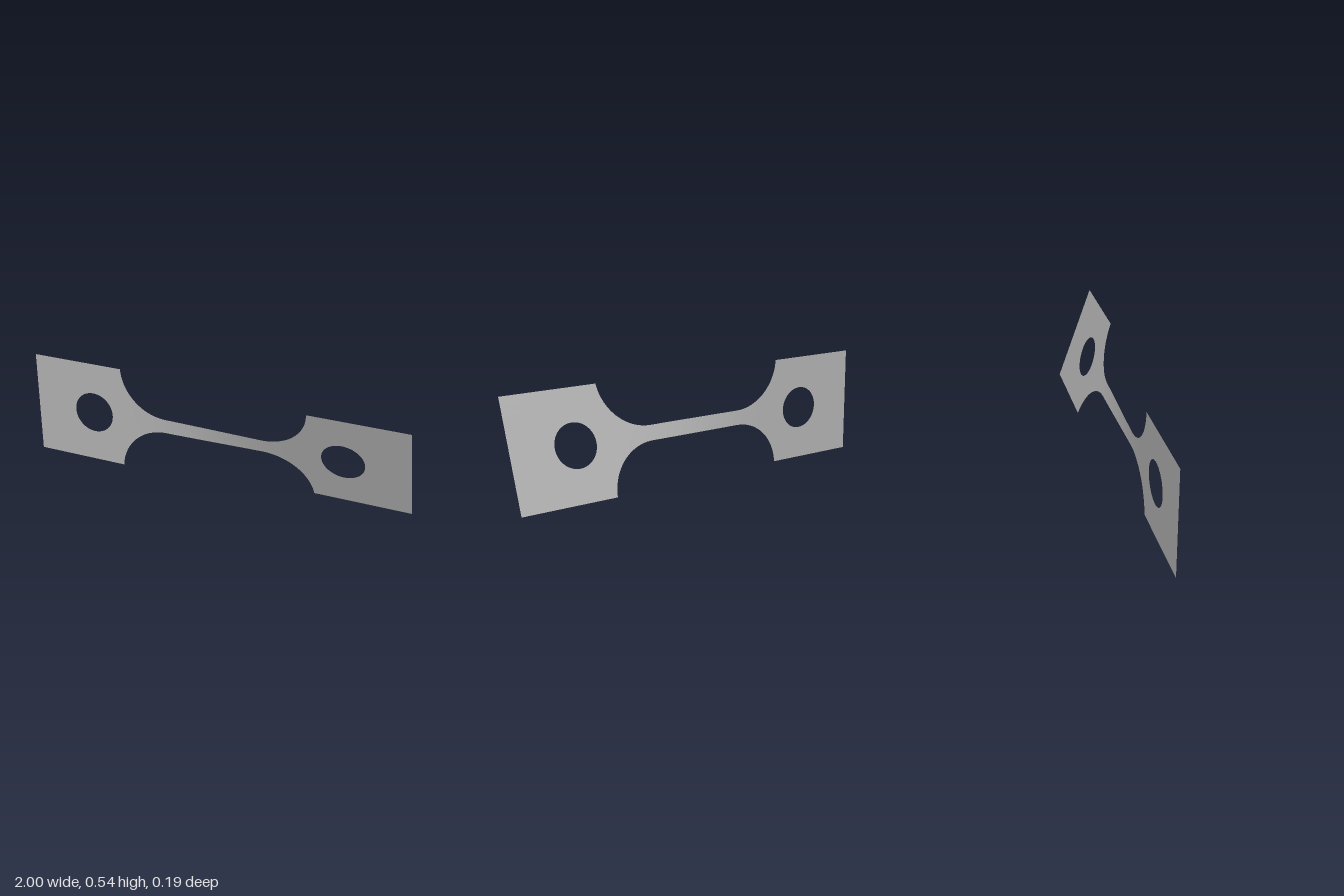
import * as THREE from 'three';

const HALF = 0.271, NECK = 0.0375, MID = 0.271;     // half heights and axis height
const FILLET = { x: 0.258, r: 0.25, end: 0.508 };
const HOLE = { x: 0.67, r: 0.108 };
const TWIST = THREE.MathUtils.degToRad(19.8);

// Outer half height of the plate at x
function outer(x) {
  const a = Math.abs(x);
  if (a <= FILLET.x) return NECK;
  if (a >= FILLET.end) return HALF;
  return NECK + FILLET.r - Math.sqrt(FILLET.r ** 2 - (a - FILLET.x) ** 2);
}

// Half height of the hole at x
function inner(x) {
  return Math.sqrt(Math.max(0, HOLE.r ** 2 - (Math.abs(x) - HOLE.x) ** 2));
}

// Columns, denser where the outline curves
function columns() {
  const half = [];
  for (let i = 1; i <= 16; i++) half.push(FILLET.x * i / 16);
  const sweep = Math.asin((FILLET.end - FILLET.x) / FILLET.r);
  for (let i = 1; i < 24; i++) half.push(FILLET.x + FILLET.r * Math.sin(sweep * i / 24));
  half.push(FILLET.end);
  for (let i = 0; i <= 32; i++) half.push(HOLE.x - HOLE.r * Math.cos(Math.PI * i / 32));
  half.push(0.89, 1);
  return [...half.map(x => -x).reverse(), 0, ...half];
}

// One half of the sheet (sign +1 upper, -1 lower), twisted along the x axis
function halfSheet(sign) {
  const xs = columns(), rows = 6, pos = [], index = [];
  xs.forEach((x, i) => {
    const angle = TWIST * THREE.MathUtils.smoothstep(x, -0.45, 0.45) + 0.005;
    for (let j = 0; j <= rows; j++) {
      const h = sign * THREE.MathUtils.lerp(inner(x), outer(x), j / rows);
      pos.push(x, MID + h * Math.cos(angle), h * Math.sin(angle));
      if (i < xs.length - 1 && j < rows) {
        const a = i * (rows + 1) + j, b = a + rows + 1;
        if (sign > 0) index.push(a, b, b + 1, a, b + 1, a + 1);
        else index.push(a, b + 1, b, a, a + 1, b + 1);
      }
    }
  });
  const geo = new THREE.BufferGeometry();
  geo.setAttribute('position', new THREE.Float32BufferAttribute(pos, 3));
  geo.setIndex(index);
  geo.computeVertexNormals();
  return geo;
}

export function createModel() {
  const group = new THREE.Group();
  group.name = 'twistedPlate';
  const steel = new THREE.MeshStandardMaterial({ color: 0xb0b0b0, side: THREE.DoubleSide });
  steel.name = 'steel grey';
  for (const [name, sign] of [['upperHalf', 1], ['lowerHalf', -1]]) {
    const mesh = new THREE.Mesh(halfSheet(sign), steel);
    mesh.name = name;
    group.add(mesh);
  }
  return group;
}
